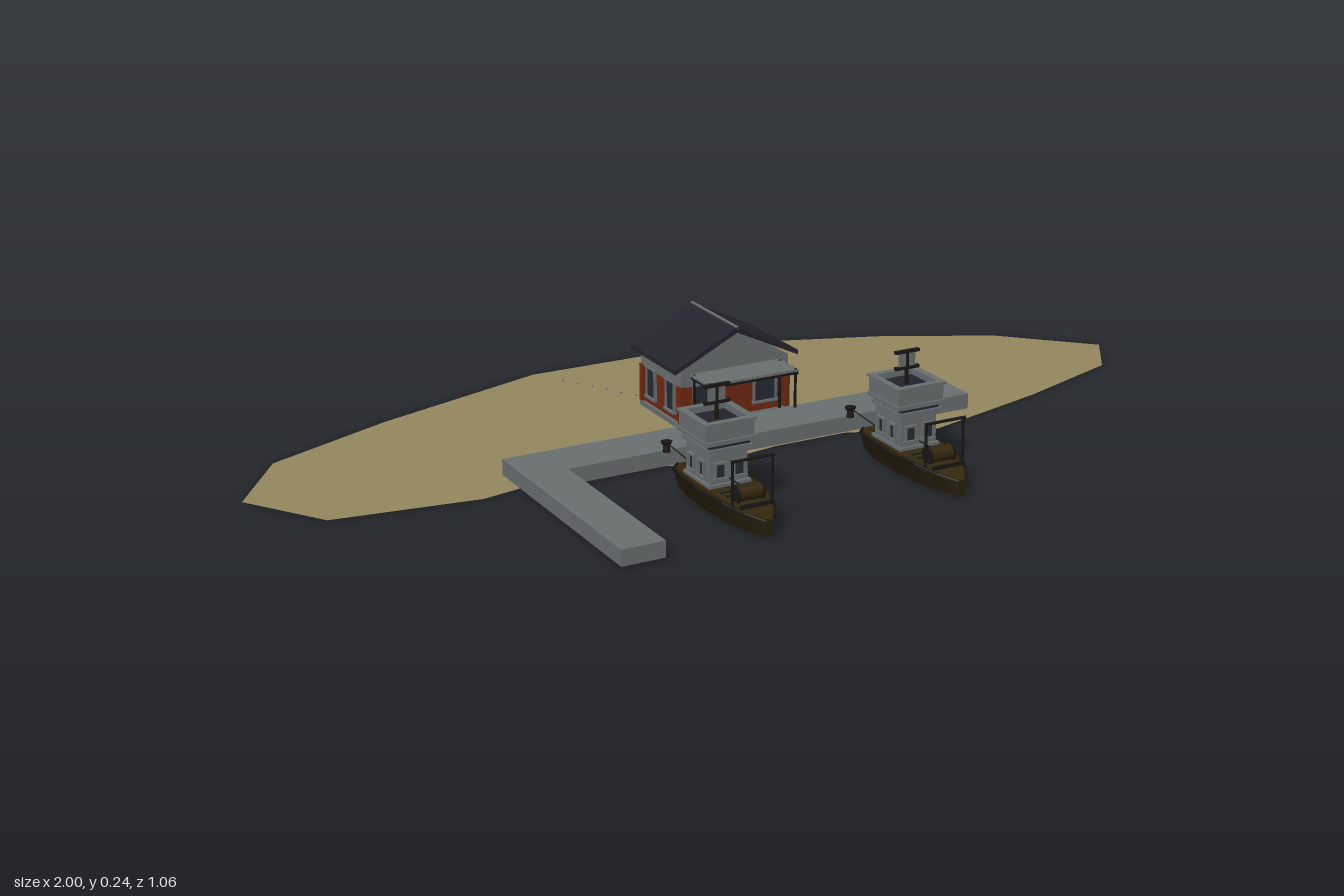
import * as THREE from 'three';

const mat = (name, color) => Object.assign(new THREE.MeshStandardMaterial({ color }), { name });
const sand = mat('sand', 0x94875f);
sand.side = THREE.DoubleSide;
const stone = mat('stone grey', 0x696e70);
const brick = mat('brick red', 0x6e2811);
const slate = mat('slate roof', 0x23232e);
const glass = mat('dark glass', 0x262932);
const hullWood = mat('hull wood', 0x261c0d);
const deckWood = mat('deck wood', 0x33270f);
const iron = mat('dark iron', 0x191715);

function add(parent, name, geometry, material, x = 0, y = 0, z = 0) {
  const mesh = new THREE.Mesh(geometry, material);
  mesh.name = name;
  mesh.position.set(x, y, z);
  parent.add(mesh);
  return mesh;
}

// Box given by its lower and upper limits on each axis
function box(parent, name, material, [x0, x1], [y0, y1], [z0, z1]) {
  return add(parent, name, new THREE.BoxGeometry(x1 - x0, y1 - y0, z1 - z0), material,
    (x0 + x1) / 2, (y0 + y1) / 2, (z0 + z1) / 2);
}

// Round bar between two points
function bar(parent, name, material, a, b, r) {
  const path = new THREE.LineCurve3(new THREE.Vector3(...a), new THREE.Vector3(...b));
  return add(parent, name, new THREE.TubeGeometry(path, 1, r, 6), material);
}

const polygon = (pts) => new THREE.Shape(pts.map(([x, y]) => new THREE.Vector2(x, y)));

// Flat-shaded loft through stations of [z, top half width, bottom half width, bottom y, top y]
function loft(stations) {
  const rings = stations.map(([z, w, b, y0, y1]) => [[w, y1, z], [-w, y1, z], [-b, y0, z], [b, y0, z]]);
  const out = [];
  const quad = (a, b, c, d) => out.push(...a, ...b, ...c, ...a, ...c, ...d);
  for (let s = 0; s < rings.length - 1; s++) {
    for (let i = 0; i < 4; i++) {
      const j = (i + 1) % 4;
      quad(rings[s][i], rings[s][j], rings[s + 1][j], rings[s + 1][i]);
    }
  }
  quad(...rings[rings.length - 1]);
  quad(...[...rings[0]].reverse());
  const g = new THREE.BufferGeometry();
  g.setAttribute('position', new THREE.Float32BufferAttribute(out, 3));
  g.computeVertexNormals();
  return g;
}

function createIsland() {
  const g = new THREE.Group();
  g.name = 'island';
  const outline = [[-1, -0.11], [-0.88, -0.28], [-0.6, -0.4], [-0.205, -0.53], [0.25, -0.53], [0.6, -0.4],
    [0.83, -0.28], [1, -0.11], [0.92, 0.01], [0.67, 0.1], [0.38, 0.18], [0.2, 0.11], [0.04, 0.11],
    [-0.125, 0.137], [-0.3, 0.07], [-0.42, 0.06], [-0.59, 0.095], [-0.89, 0.055]];
  const shape = polygon(outline.map(([x, z]) => [x, -z]));
  add(g, 'sandbank', new THREE.ShapeGeometry(shape).rotateX(-Math.PI / 2), sand);
  // A trail of tiny pebbles behind the house
  for (let i = 0; i < 6; i++) {
    add(g, 'pebble', new THREE.IcosahedronGeometry(0.003), stone, -0.165 + i * 0.019, 0.001, -0.46 + i * 0.032);
  }
  return g;
}

function createPier() {
  const g = new THREE.Group();
  g.name = 'pier';
  const shape = polygon([[-0.51, 0], [0.5, 0], [0.5, -0.11], [-0.42, -0.11], [-0.42, -0.52], [-0.51, -0.52]]);
  const geo = new THREE.ExtrudeGeometry(shape, { depth: 0.033, bevelEnabled: false }).rotateX(-Math.PI / 2);
  add(g, 'quay', geo, stone, 0, 0.002, 0);
  for (const x of [-0.21, 0.21]) {
    add(g, 'bollardPost', new THREE.CylinderGeometry(0.006, 0.008, 0.018, 10), iron, x, 0.043, 0.115);
    add(g, 'bollardCap', new THREE.CylinderGeometry(0.012, 0.009, 0.006, 10), iron, x, 0.053, 0.115);
  }
  return g;
}

// Framed sash window facing +z, centred on the origin
function createWindow(w, h) {
  const g = new THREE.Group();
  g.name = 'window';
  box(g, 'pane', glass, [-w / 2, w / 2], [-h / 2, h / 2], [0, 0.003]);
  for (const s of [-1, 1]) {
    box(g, 'jamb', stone, [s * w / 2 - 0.002, s * w / 2 + 0.002], [-h / 2, h / 2], [0, 0.006]);
  }
  box(g, 'sill', stone, [-w / 2 - 0.005, w / 2 + 0.005], [-h / 2 - 0.005, -h / 2], [0, 0.008]);
  box(g, 'lintel', stone, [-w / 2 - 0.003, w / 2 + 0.003], [h / 2, h / 2 + 0.004], [0, 0.006]);
  return g;
}

// House: x is relative to the ridge line, z to the middle of the walls
function createHouse() {
  const g = new THREE.Group();
  g.name = 'house';
  const W = 0.122, D = 0.087;
  box(g, 'plinth', stone, [-W - 0.006, W + 0.006], [0.001, 0.012], [-D - 0.005, D + 0.005]);
  box(g, 'brickWalls', brick, [-W, W], [0.012, 0.092], [-D, D]);
  box(g, 'upperBand', stone, [-W - 0.003, W + 0.003], [0.09, 0.125], [-D - 0.003, D + 0.003]);
  const gable = polygon([[-W - 0.003, 0.125], [W + 0.003, 0.125], [0, 0.193]]);
  add(g, 'gables', new THREE.ExtrudeGeometry(gable, { depth: 2 * D + 0.006, bevelEnabled: false }), stone, 0, 0, -D - 0.003);
  const chevron = polygon([[-0.143, 0.124], [0, 0.193], [0.143, 0.124], [0.143, 0.134], [0, 0.205], [-0.143, 0.134]]);
  add(g, 'roof', new THREE.ExtrudeGeometry(chevron, { depth: 0.2, bevelEnabled: false }), slate, 0, 0, -0.1);
  box(g, 'ridgeCap', stone, [-0.003, 0.003], [0.2, 0.206], [-0.1, 0.1]);
  // Corner piers
  for (const sx of [-1, 1]) for (const sz of [-1, 1]) {
    add(g, 'cornerPier', new THREE.BoxGeometry(0.012, 0.08, 0.012), brick, sx * W, 0.052, sz * D);
  }
  // Windows on all four walls, front and back alike
  for (const s of [-1, 1]) {
    for (const z of [-0.045, 0.042]) {
      const side = createWindow(0.036, 0.06);
      side.position.set(s * W, 0.061, z);
      side.rotation.y = s * Math.PI / 2;
      g.add(side);
    }
    for (const x of [-0.07, 0.07]) {
      const end = createWindow(0.05, 0.055);
      end.position.set(x, 0.062, s * D);
      if (s < 0) end.rotation.y = Math.PI;
      g.add(end);
    }
  }
  box(g, 'door', brick, [-0.033, 0.033], [0.012, 0.088], [D, D + 0.005]);
  // Porch canopy on posts
  box(g, 'porchCanopy', stone, [-0.105, 0.105], [0.113, 0.118], [0.09, 0.168]);
  for (const s of [-1, 1]) {
    box(g, 'porchBeam', iron, [s * 0.1 - 0.003, s * 0.1 + 0.003], [0.107, 0.113], [0.09, 0.17]);
    for (const z of [0.1, 0.164]) bar(g, 'porchPost', iron, [s * 0.1, z < 0.15 ? 0.002 : 0.035, z], [s * 0.1, 0.12, z], 0.003);
  }
  box(g, 'porchFrontBeam', iron, [-0.105, 0.105], [0.108, 0.113], [0.163, 0.169]);
  g.position.set(0.04, 0, -0.152);
  return g;
}

// Boat with its bow towards +z; z is in world units
function createBoat(x) {
  const g = new THREE.Group();
  g.name = 'boat';
  const st = [[0.185, 0.012, 0.035], [0.215, 0.038, 0.04], [0.27, 0.056, 0.05], [0.365, 0.062, 0.05],
    [0.44, 0.052, 0.049], [0.49, 0.032, 0.041], [0.527, 0.008, 0.035]];
  add(g, 'hull', loft(st.map(([z, w, y]) => [z, w, w * 0.7, 0.004, y])), hullWood);
  add(g, 'deck', loft(st.map(([z, w, y]) => [z * 0.98 + 0.0071, w * 0.86, w * 0.86, y - 0.004, y + 0.002])), deckWood);
  for (const s of [-1, 1]) {
    for (let i = 0; i < st.length - 1; i++) {
      const [a, b] = [st[i], st[i + 1]];
      bar(g, 'gunwale', iron, [s * a[1], a[2], a[0]], [s * b[1], b[2], b[0]], 0.0025);
    }
  }
  for (const z of [0.4, 0.42, 0.475]) box(g, 'deckBeam', iron, [-0.035, 0.035], [0.045, 0.053], [z, z + 0.004]);

  // Lower cabin, with windows all round
  box(g, 'cabin', stone, [-0.04, 0.04], [0.05, 0.128], [0.275, 0.37]);
  box(g, 'cabinBase', stone, [-0.045, 0.045], [0.05, 0.058], [0.27, 0.376]);
  box(g, 'cabinEave', stone, [-0.046, 0.046], [0.122, 0.129], [0.267, 0.378]);
  for (const s of [-1, 1]) {
    for (const z of [0.302, 0.343]) {
      const w = createWindow(0.018, 0.026);
      w.position.set(s * 0.04, 0.084, z);
      w.rotation.y = s * Math.PI / 2;
      g.add(w);
    }
    const w = createWindow(0.022, 0.026);
    w.position.set(s * 0.02, 0.084, 0.37);
    g.add(w);
    const r = createWindow(0.022, 0.026);
    r.position.set(s * 0.02, 0.084, 0.275);
    r.rotation.y = Math.PI;
    g.add(r);
  }

  // Upper bridge: dark glass strip, parapet and sunken dark floor
  box(g, 'bridgeGlass', glass, [-0.043, 0.043], [0.129, 0.138], [0.272, 0.373]);
  box(g, 'bridgeFloor', stone, [-0.054, 0.054], [0.137, 0.145], [0.264, 0.38]);
  box(g, 'bridgeDeck', slate, [-0.042, 0.042], [0.144, 0.168], [0.277, 0.365]);
  for (const s of [-1, 1]) {
    box(g, 'sideParapet', stone, [s * 0.046 - 0.005, s * 0.046 + 0.005], [0.145, 0.176], [0.267, 0.376]);
    box(g, 'sideRail', stone, [s * 0.048 - 0.007, s * 0.048 + 0.007], [0.176, 0.181], [0.264, 0.38]);
    const z = 0.3215 + s * 0.05;
    box(g, 'endParapet', stone, [-0.041, 0.041], [0.145, 0.176], [z - 0.0045, z + 0.0045]);
    box(g, 'endRail', stone, [-0.041, 0.041], [0.176, 0.181], [z - 0.007, z + 0.007]);
  }

  // Mast with signal frame
  bar(g, 'mast', iron, [0, 0.165, 0.322], [0, 0.238, 0.322], 0.004);
  box(g, 'signalBoard', stone, [-0.018, 0.018], [0.205, 0.232], [0.32, 0.324]);
  for (const y of [0.202, 0.235]) box(g, 'signalArm', iron, [-0.027, 0.027], [y - 0.003, y + 0.003], [0.318, 0.326]);

  // Bow gantry, winch and lines
  for (const s of [-1, 1]) bar(g, 'gantryPost', iron, [s * 0.042, 0.042, 0.461], [s * 0.042, 0.137, 0.461], 0.003);
  bar(g, 'gantryBar', iron, [-0.047, 0.135, 0.461], [0.047, 0.135, 0.461], 0.003);
  add(g, 'winchDrum', new THREE.CylinderGeometry(0.016, 0.016, 0.05, 14).rotateZ(Math.PI / 2), deckWood, 0, 0.063, 0.444);
  for (const s of [-1, 1]) {
    add(g, 'winchFlange', new THREE.CylinderGeometry(0.018, 0.018, 0.004, 14).rotateZ(Math.PI / 2), iron, s * 0.026, 0.063, 0.444);
  }
  bar(g, 'winchLine', iron, [0, 0.066, 0.44], [0, 0.066, 0.37], 0.0015);
  bar(g, 'mooringLine', iron, [0, 0.044, 0.24], [0, 0.053, 0.115], 0.0012);
  g.position.x = x;
  return g;
}

export function createModel() {
  const model = new THREE.Group();
  model.name = 'harbourIsland';
  model.add(createIsland(), createPier(), createHouse(), createBoat(-0.21), createBoat(0.21));
  return model;
}
